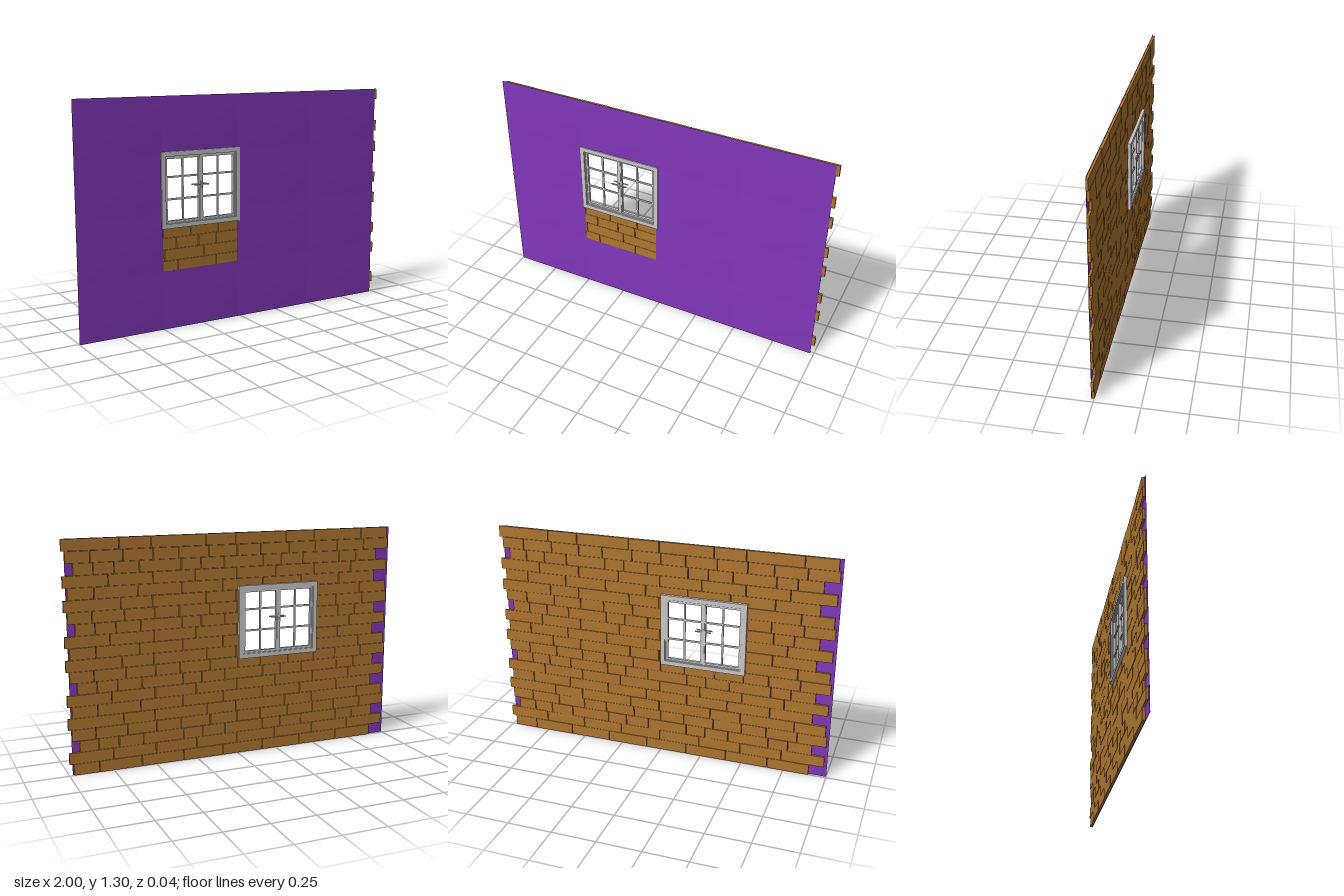
import * as THREE from 'three';
import { mergeVertices } from 'three/addons/utils/BufferGeometryUtils.js';

const purple = new THREE.MeshStandardMaterial({ color: 0x8438bd });
const brown = new THREE.MeshStandardMaterial({ color: 0xb07830 });
const grey = new THREE.MeshStandardMaterial({ color: 0xcccccc });

// Box given by its limits on each axis
function box(name, x0, x1, y0, y1, z0, z1, material) {
  const mesh = new THREE.Mesh(new THREE.BoxGeometry(x1 - x0, y1 - y0, z1 - z0), material);
  mesh.position.set((x0 + x1) / 2, (y0 + y1) / 2, (z0 + z1) / 2);
  mesh.name = name;
  return mesh;
}

// Rectangular frame with an open middle
function frame(name, x0, x1, y0, y1, border, z0, z1) {
  const rect = (path, b) => path.moveTo(x0 + b, y0 + b).lineTo(x1 - b, y0 + b)
    .lineTo(x1 - b, y1 - b).lineTo(x0 + b, y1 - b).closePath();
  const shape = new THREE.Shape();
  rect(shape, 0);
  const hole = new THREE.Path();
  rect(hole, border);
  shape.holes.push(hole);
  const geometry = new THREE.ExtrudeGeometry(shape, { depth: z1 - z0, bevelEnabled: false });
  geometry.translate(0, 0, z0);
  const mesh = new THREE.Mesh(geometry, grey);
  mesh.name = name;
  return mesh;
}

// Thin facing panels, shaded softly like cushions; two are left out around the window
function createPanels() {
  const group = new THREE.Group();
  group.name = 'facingPanels';
  const xs = [-1, -0.5, -0.02, 0.48, 0.98];
  const ys = [0, 0.333, 0.655, 0.98, 1.3];
  for (let c = 0; c < 4; c++) {
    for (let r = 0; r < 4; r++) {
      if (c === 1 && (r === 1 || r === 2)) continue;
      const panel = box('facingPanel', xs[c], xs[c + 1], ys[r], ys[r + 1], 0.011, 0.0135, purple);
      const g = panel.geometry;
      g.deleteAttribute('normal');
      g.deleteAttribute('uv');
      panel.geometry = mergeVertices(g);
      panel.geometry.computeVertexNormals();
      group.add(panel);
    }
  }
  return group;
}

// Brick courses: a pattern of five rows, repeated along and up the wall
function createBricks() {
  const group = new THREE.Group();
  group.name = 'brickWall';
  const joints = [[0.1, 0.345], [0.015, 0.265], [0.09, 0.23, 0.345], [0.01, 0.18, 0.36], [0.02, 0.2]];
  const ends = [0.975, 1, 0.94, 0.98, 1];
  const h = 0.065, gap = 0.002, open0 = -0.485, open1 = -0.025;
  for (let row = 0; row < 20; row++) {
    const k = row % 5;
    const cuts = [];
    for (let c = 0; c < 4; c++) for (const j of joints[k]) cuts.push(-1 + c * 0.495 + j);
    cuts.push(ends[k]);
    for (let i = 0; i < cuts.length - 1; i++) {
      const a = cuts[i] + gap, b = cuts[i + 1] - gap;
      // Rows beside the window are cut at the opening
      const atWindow = row >= 9 && row <= 14;
      const spans = atWindow ? [[a, Math.min(b, open0)], [Math.max(a, open1), b]] : [[a, b]];
      const back = -0.004 + ((row * 3 + i * 2) % 4) * 0.0008;
      for (const [s, e] of spans) {
        if (e - s < 0.004) continue;
        group.add(box('brick', s, e, row * h + 0.0008, (row + 1) * h - 0.0008, back, 0.0105, brown));
      }
    }
  }
  return group;
}

// Two-leaf window with glazing bars and a handle on each side
function createWindow() {
  const group = new THREE.Group();
  group.name = 'window';
  group.add(frame('outerFrame', -0.505, -0.005, 0.573, 0.998, 0.026, -0.02, 0.02));
  group.add(frame('innerFrame', -0.482, -0.028, 0.596, 0.975, 0.007, -0.014, 0.012));
  for (const [x0, x1] of [[-0.477, -0.256], [-0.254, -0.033]]) {
    const leaf = new THREE.Group();
    leaf.name = 'windowLeaf';
    leaf.add(frame('leafFrame', x0, x1, 0.601, 0.97, 0.013, -0.009, 0.007));
    const mid = (x0 + x1) / 2;
    leaf.add(box('verticalBar', mid - 0.005, mid + 0.005, 0.61, 0.965, -0.004, 0.004, grey));
    for (const y of [0.733, 0.857]) {
      leaf.add(box('horizontalBar', x0 + 0.01, x1 - 0.01, y - 0.005, y + 0.005, -0.0035, 0.0035, grey));
    }
    group.add(leaf);
  }
  group.add(box('centrePost', -0.264, -0.246, 0.601, 0.97, -0.012, 0.01, grey));
  for (const side of [-1, 1]) {
    const z0 = side > 0 ? 0.009 : -0.018, z1 = side > 0 ? 0.018 : -0.011;
    group.add(box('handlePlate', -0.259, -0.251, 0.785, 0.82, z0, z1, grey));
    group.add(box('handle', -0.302, -0.208, 0.8, 0.806, z0 + 0.003, z1, grey));
  }
  return group;
}

export function createModel() {
  const model = new THREE.Group();
  model.name = 'wallWithWindow';
  model.add(createPanels(), createBricks(), createWindow());
  return model;
}
